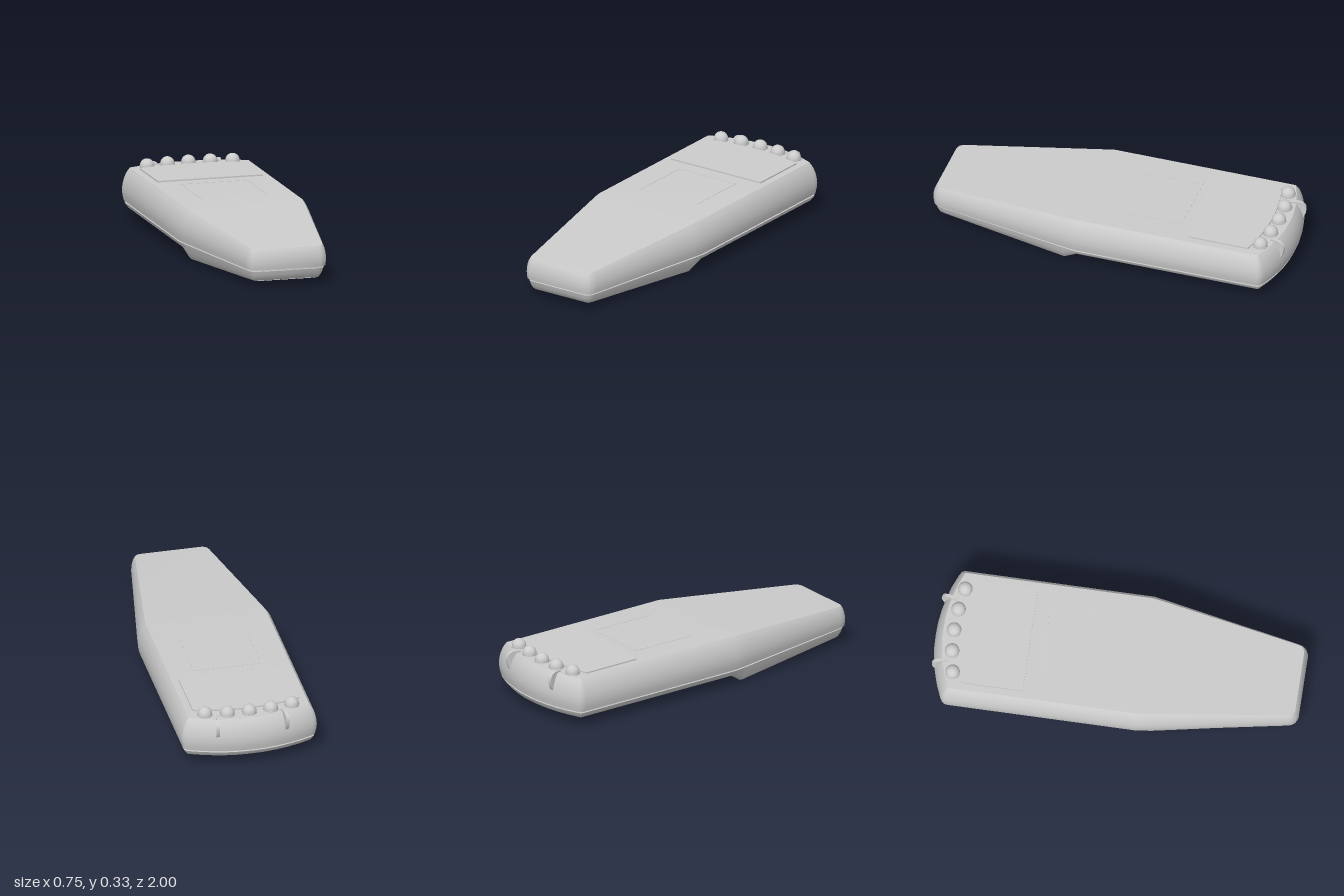
import * as THREE from 'three';
import { toCreasedNormals } from 'three/addons/utils/BufferGeometryUtils.js';

// Right half of the plan outline [x, z], from back centre to front centre
const HALF = [[0, -1], [0.07, -0.998], [0.14, -0.989], [0.21, -0.974], [0.28, -0.953], [0.345, -0.927],
  [0.365, -0.915], [0.373, -0.9], [0.375, -0.88], [0.375, 0.14], [0.361, 0.22], [0.226, 0.94],
  [0.219, 0.967], [0.204, 0.988], [0.178, 1], [0, 1]];
const N = HALF.length;
const SEAM_TOP = 0.1, SEAM_LOW = 0.09;

const lerp = THREE.MathUtils.lerp;
const topY = z => (z < 0.14 ? 0.28 : lerp(0.28, 0.213, (z - 0.14) / 0.86));
const bottomY = z => {
  if (z <= 0.14) return 0.05;
  return z <= 0.22 ? lerp(0.05, 0, (z - 0.14) / 0.08) : lerp(0, 0.03, (z - 0.22) / 0.78);
};

// Outline point i moved inward by d along its mitred normal
function inset(i, d) {
  const p = HALF[i];
  const a = i > 0 ? HALF[i - 1] : [-HALF[1][0], HALF[1][1]];
  const b = i < N - 1 ? HALF[i + 1] : [-HALF[N - 2][0], HALF[N - 2][1]];
  const n1 = new THREE.Vector2(p[1] - a[1], a[0] - p[0]).normalize();
  const n2 = new THREE.Vector2(b[1] - p[1], p[0] - b[0]).normalize();
  const m = n1.clone().add(n2).normalize();
  m.multiplyScalar(d / Math.max(0.5, m.dot(n1)));
  return [p[0] - m.x, p[1] - m.y];
}

// Closed solid from levels running upward; each gives [inset, y] for a plan z
function loft(levels) {
  const pos = [], idx = [], M = 2 * N - 2;
  for (const level of levels) {
    for (let k = 0; k < M; k++) {
      const i = k < N ? k : M - k;
      const [d, y] = level(HALF[i][1]);
      const [x, z] = inset(i, d);
      pos.push(k < N ? x : -x, y, z);
    }
  }
  for (let l = 0; l < levels.length - 1; l++) {
    for (let k = 0; k < M; k++) {
      const a = l * M + k, b = l * M + (k + 1) % M;
      idx.push(a, a + M, b, b, a + M, b + M);
    }
  }
  // Caps: strips spanning left to right
  const t = (levels.length - 1) * M;
  for (let i = 0; i < N - 1; i++) {
    const r0 = i, r1 = i + 1, l0 = (M - i) % M, l1 = (M - i - 1) % M;
    if (l0 !== r0) {
      idx.push(t + r0, t + l0, t + l1);
      idx.push(r0, l1, l0);
    }
    if (l1 !== r1) {
      idx.push(t + r0, t + l1, t + r1);
      idx.push(r0, r1, l1);
    }
  }
  const g = new THREE.BufferGeometry();
  g.setAttribute('position', new THREE.Float32BufferAttribute(pos, 3));
  g.setIndex(idx);
  return toCreasedNormals(g, 0.6);
}

export function createModel() {
  const group = new THREE.Group();
  const mat = new THREE.MeshStandardMaterial({ color: 0xcccccc });
  const add = (name, geo, x = 0, y = 0, z = 0) => {
    const mesh = new THREE.Mesh(geo, mat);
    mesh.name = name;
    mesh.position.set(x, y, z);
    group.add(mesh);
    return mesh;
  };

  // Upper shell: bulging sides, softer inset where the body is thinner
  const upper = [[0, 0.01], [0.16, 0.003], [0.33, 0], [0.5, 0.003], [0.65, 0.009], [0.8, 0.019], [0.91, 0.03], [1, 0.042]];
  add('upperShell', loft(upper.map(([t, d]) => z => {
    const h = topY(z) - SEAM_TOP;
    return [d * (h / 0.18) ** 1.6, SEAM_TOP + t * h];
  })));

  // Lower shell with the deeper battery hump
  const lower = [[1, 0.065], [0.9, 0.044], [0.75, 0.034], [0.4, 0.022], [0, 0.014]];
  add('lowerShell', loft(lower.map(([t, d]) => z => [d, lerp(SEAM_LOW, bottomY(z), t)])));

  // Recessed band between the shells
  add('seamBand', loft([() => [0.024, SEAM_LOW - 0.005], () => [0.024, SEAM_TOP + 0.005]]));

  // Raised panel with a curved back edge
  const panel = new THREE.Shape();
  panel.moveTo(-0.295, 0.485);
  panel.lineTo(0.295, 0.485);
  panel.lineTo(0.295, 0.82);
  panel.quadraticCurveTo(0, 0.905, -0.295, 0.82);
  panel.closePath();
  const panelGeo = new THREE.ExtrudeGeometry(panel, { depth: 0.013, bevelEnabled: false, curveSegments: 16 });
  add('panel', panelGeo.rotateX(-Math.PI / 2), 0, 0.275, 0);

  // Row of round buttons with low collars
  for (let i = -2; i <= 2; i++) {
    const x = i * 0.12, z = -0.899 + 0.0065 * i * i;
    add('button', new THREE.SphereGeometry(0.039, 32, 20), x, 0.288, z);
    add('buttonCollar', new THREE.CylinderGeometry(0.041, 0.041, 0.02, 32), x, 0.278, z);
  }

  // Curved ribs hooking over the back edge
  const rib = new THREE.Shape();
  rib.moveTo(0.04, 0.27);
  rib.lineTo(0.04, 0.287);
  rib.bezierCurveTo(0, 0.296, -0.038, 0.294, -0.043, 0.25);
  rib.quadraticCurveTo(-0.042, 0.215, -0.025, 0.19);
  rib.lineTo(-0.01, 0.2);
  rib.quadraticCurveTo(-0.01, 0.25, 0.04, 0.27);
  for (const s of [-1, 1]) {
    const g = new THREE.ExtrudeGeometry(rib, { depth: 0.018, bevelEnabled: false, curveSegments: 10 });
    g.translate(0, 0, -0.009).rotateY(-Math.PI / 2);
    add('backRib', toCreasedNormals(g, 0.6), s * 0.185, 0, -0.95).rotation.y = -s * 0.2;
    // Side lines of the cover outline
    add('coverLine', new THREE.BoxGeometry(0.008, 0.006, 0.365), s * 0.186, 0.2785, -0.2225);
  }
  add('coverLine', new THREE.BoxGeometry(0.38, 0.006, 0.008), 0, 0.2785, -0.405);

  return group;
}
